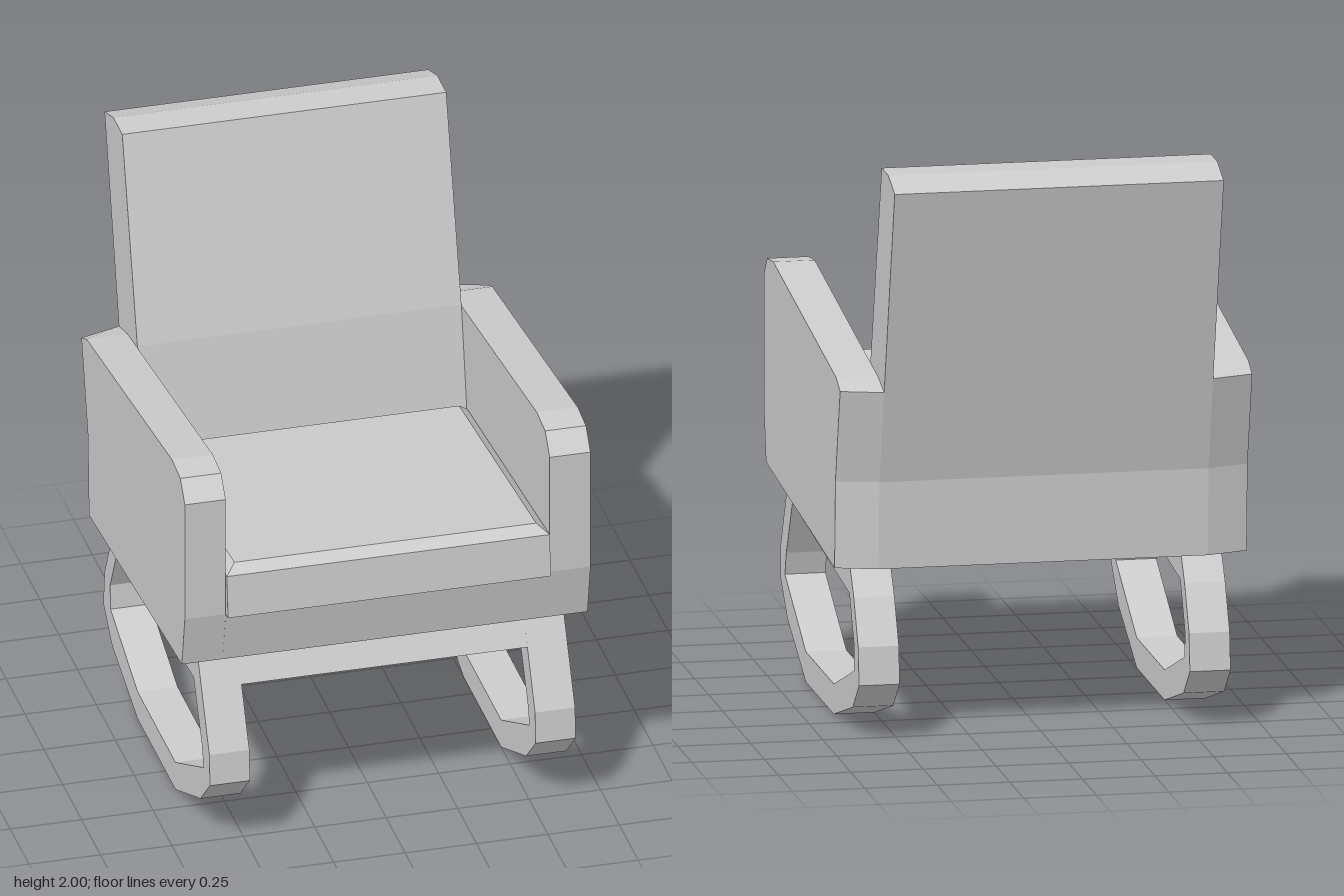
import * as THREE from 'three';

const material = new THREE.MeshStandardMaterial({ color: 0xcccccc, flatShading: true });

const toPoints = (list) => list.map(([z, y]) => new THREE.Vector2(z, y));

// Extrudes a side profile of [z, y] points across x, from x0 to x1.
function sideExtrude(name, profile, x0, x1, hole) {
  const shape = new THREE.Shape(toPoints(profile));
  if (hole) shape.holes.push(new THREE.Path(toPoints(hole)));
  const geometry = new THREE.ExtrudeGeometry(shape, { depth: x1 - x0, bevelEnabled: false });
  geometry.rotateY(-Math.PI / 2).translate(x1, 0, 0);
  const mesh = new THREE.Mesh(geometry, material);
  mesh.name = name;
  return mesh;
}

const INNER = 0.567; // half width between the arms
const OUTER = 0.71;

const armProfile = [
  [0.73, 0.688], [0.77, 0.885], [0.77, 1.33], [0.71, 1.4], [0.6, 1.412],
  [-0.53, 1.262], [-0.645, 1.23], [-0.56, 0.9], [-0.545, 0.595],
];
const baseProfile = [[0.73, 0.688], [0.77, 0.88], [-0.28, 0.79], [-0.28, 0.614]];
const backProfile = [
  [-0.28, 0.614], [-0.32, 0.87], [-0.4, 1.285], [-0.6, 2], [-0.72, 2], [-0.835, 1.96],
  [-0.645, 1.23], [-0.56, 0.9], [-0.545, 0.595],
];
// Outline and opening run in opposite directions so the inner walls face the opening.
const rockerOutline = [
  [0.67, 0.69], [0.83, 0.38], [0.838, 0.265], [0.71, 0.145], [0.38, 0], [-0.12, 0],
  [-0.46, 0.1], [-0.575, 0.2], [-0.56, 0.33], [-0.48, 0.485], [-0.39, 0.61],
];
const rockerOpening = [
  [-0.4, 0.483], [-0.485, 0.32], [-0.48, 0.23], [-0.12, 0.105],
  [0.38, 0.105], [0.755, 0.29], [0.73, 0.37], [0.62, 0.568],
];
const crossbarProfile = [[0.67, 0.69], [0.727, 0.578], [0.62, 0.568], [0.56, 0.69]];

// Arm whose rear outer edge is swept forward.
function makeArm(name, side) {
  const arm = side > 0
    ? sideExtrude(name, armProfile, INNER, OUTER)
    : sideExtrude(name, armProfile, -OUTER, -INNER);
  const p = arm.geometry.attributes.position;
  for (let i = 0; i < p.count; i++) {
    if (Math.abs(p.getX(i)) > 0.7 && p.getZ(i) < -0.54) p.setZ(i, p.getZ(i) + 0.045);
  }
  arm.geometry.computeVertexNormals();
  return arm;
}

// Box cushion with a chamfered top rim, tilted back.
function makeCushion() {
  const geometry = new THREE.BoxGeometry(1.13, 0.186, 1.1, 1, 2, 1);
  const p = geometry.attributes.position;
  for (let i = 0; i < p.count; i++) {
    const y = p.getY(i);
    if (Math.abs(y) < 0.01) p.setY(i, 0.061);
    else if (y > 0) {
      p.setX(i, p.getX(i) - Math.sign(p.getX(i)) * 0.037);
      p.setZ(i, p.getZ(i) - Math.sign(p.getZ(i)) * 0.037);
    }
  }
  geometry.computeVertexNormals();
  const cushion = new THREE.Mesh(geometry, material);
  cushion.name = 'seatCushion';
  cushion.rotation.x = -0.1;
  cushion.position.set(0, 0.919, 0.237);
  return cushion;
}

export function createModel() {
  const chair = new THREE.Group();
  chair.name = 'rockingArmchair';

  // Upholstered body
  chair.add(sideExtrude('seatBase', baseProfile, -INNER, INNER));
  chair.add(sideExtrude('backrest', backProfile, -INNER, INNER));
  chair.add(makeCushion());
  chair.add(makeArm('leftArm', 1), makeArm('rightArm', -1));

  // Looped rockers joined by a front bar
  chair.add(sideExtrude('leftRocker', rockerOutline, 0.5, 0.64, rockerOpening));
  chair.add(sideExtrude('rightRocker', rockerOutline, -0.64, -0.5, rockerOpening));
  chair.add(sideExtrude('frontCrossbar', crossbarProfile, -0.5, 0.5));

  return chair;
}
